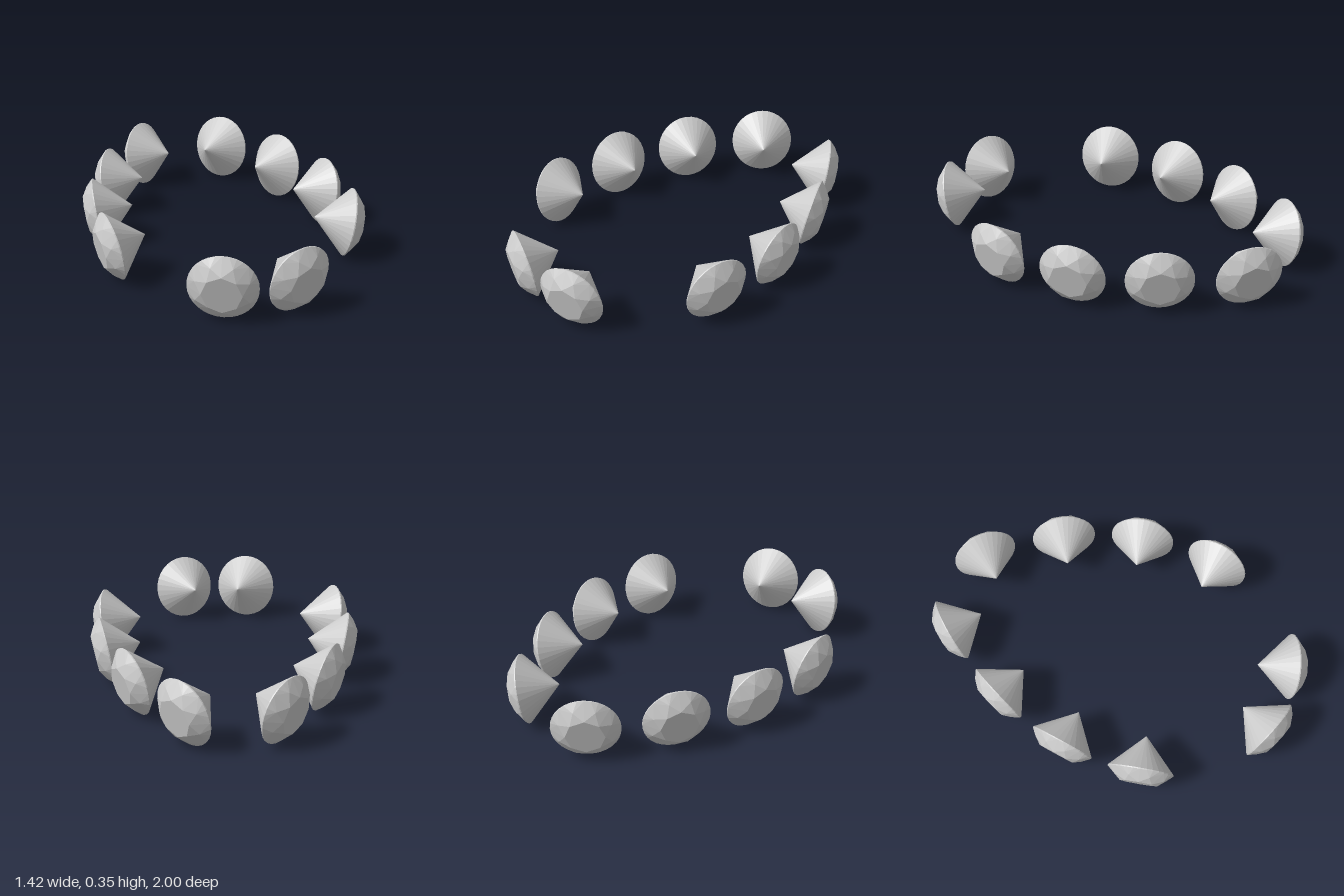
import * as THREE from 'three';

const RX = 0.1725, RY = 0.179;   // girdle half width and half height
const CROWN = 0.066, PAVILION = 0.18, BAND = 0.003;
const SIDES = 32;

// Point on a ring of the stone, i counted in 1/32 turns, +z is the table side
function ring(i, r, z) {
  const a = Math.PI / 2 + (i / SIDES) * Math.PI * 2;
  return [Math.cos(a) * RX * r, Math.sin(a) * RY * r, z];
}

// Round brilliant-cut stone with flat facets
function gemGeometry() {
  const pos = [];
  const tri = (a, b, c) => pos.push(...a, ...b, ...c);
  const table = i => ring(i, 0.57, CROWN);
  const mid = i => ring(i, 0.81, CROWN * 0.58);
  const top = i => ring(i, 1, BAND);
  const low = i => ring(i, 1, -BAND);
  const tip = [0, 0, -PAVILION];

  for (let k = 0; k < SIDES; k += 4) {
    tri([0, 0, CROWN], table(k), table(k + 4));   // table
    tri(table(k), mid(k + 2), table(k + 4));      // star facet
    tri(table(k), mid(k - 2), top(k));            // kite facet, two halves
    tri(table(k), top(k), mid(k + 2));
    for (let j = 0; j < 4; j++) tri(mid(k + 2), top(k + j), top(k + j + 1)); // upper girdle
  }
  for (let i = 0; i < SIDES; i++) {
    // girdle band and pavilion
    tri(top(i), low(i), low(i + 1));
    tri(top(i), low(i + 1), top(i + 1));
    tri(low(i), tip, low(i + 1));
  }
  const g = new THREE.BufferGeometry();
  g.setAttribute('position', new THREE.Float32BufferAttribute(pos, 3));
  g.computeVertexNormals();
  return g;
}

export function createModel() {
  const group = new THREE.Group();
  group.name = 'gemRing';
  const material = new THREE.MeshStandardMaterial({ color: 0xcccccc, flatShading: true });
  const geometry = gemGeometry();

  // Girdle centre (x, z) and outward direction (nx, nz) of each stone on the left side
  const stones = [
    ['frontGem', 0.186, 0.899, 0.35, 0.937],
    ['frontSideGem', 0.62, 0.343, 0.985, 0.172],
    ['middleSideGem', 0.62, -0.09, 0.988, -0.154],
    ['backSideGem', 0.483, -0.502, 0.884, -0.467],
    ['backGem', 0.238, -0.872, 0.73, -0.685],
  ];
  for (const [name, x, z, nx, nz] of stones) {
    for (const side of [1, -1]) {
      const gem = new THREE.Mesh(geometry, material);
      gem.name = name + (side > 0 ? 'Left' : 'Right');
      gem.position.set(side * x, 0.178, z);
      // yaw outward, then lean so the point lifts slightly
      gem.rotation.set(0.183, Math.atan2(side * nx, nz), 0, 'YXZ');
      group.add(gem);
    }
  }
  return group;
}
